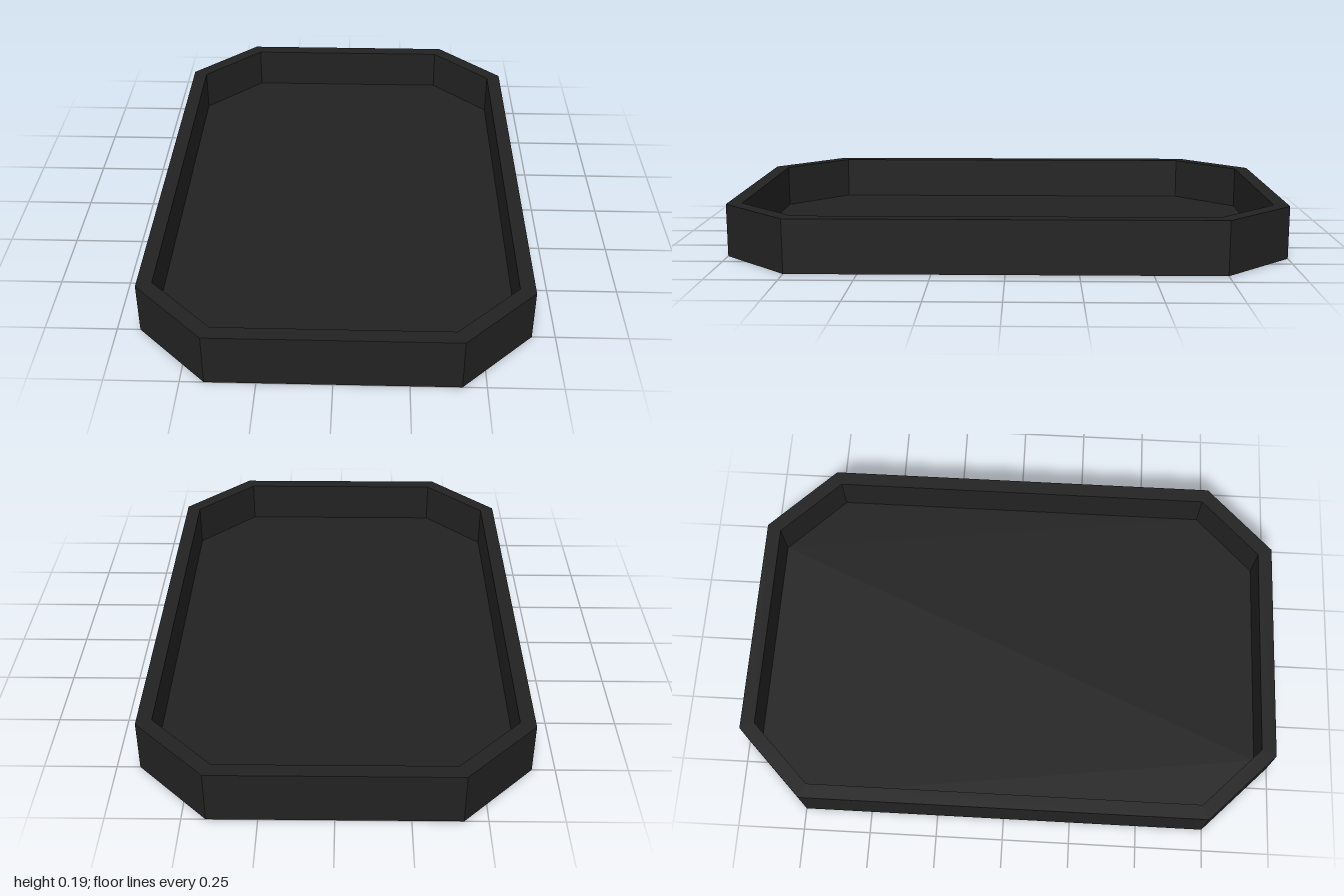
import * as THREE from 'three';

const HEIGHT = 0.19;
const FLOOR = 0.03;

// Corner points of a rectangle with cut corners
function octagon(halfX, halfZ, cut) {
  const a = halfX - cut, b = halfZ - cut;
  return [
    [halfX, -b], [halfX, b], [a, halfZ], [-a, halfZ],
    [-halfX, b], [-halfX, -b], [-a, -halfZ], [a, -halfZ],
  ].map(([x, y]) => new THREE.Vector2(x, y));
}

// Extrude a flat outline upwards from y = 0
function extrudeUp(shape, depth) {
  const geometry = new THREE.ExtrudeGeometry(shape, { depth, bevelEnabled: false });
  return geometry.rotateX(-Math.PI / 2);
}

export function createModel() {
  const group = new THREE.Group();
  group.name = 'tray';
  const charcoal = new THREE.MeshStandardMaterial({ color: 0x222222 });
  charcoal.name = 'charcoal';

  const outer = octagon(0.67, 1, 0.25);
  const inner = octagon(0.617, 0.947, 0.22);

  // Upright wall around the edge
  const wallShape = new THREE.Shape(outer);
  wallShape.holes.push(new THREE.Path(inner));
  const wall = new THREE.Mesh(extrudeUp(wallShape, HEIGHT), charcoal);
  wall.name = 'wall';

  // Thin floor set inside the wall
  const floor = new THREE.Mesh(extrudeUp(new THREE.Shape(inner), FLOOR), charcoal);
  floor.name = 'floor';

  group.add(wall, floor);
  return group;
}
